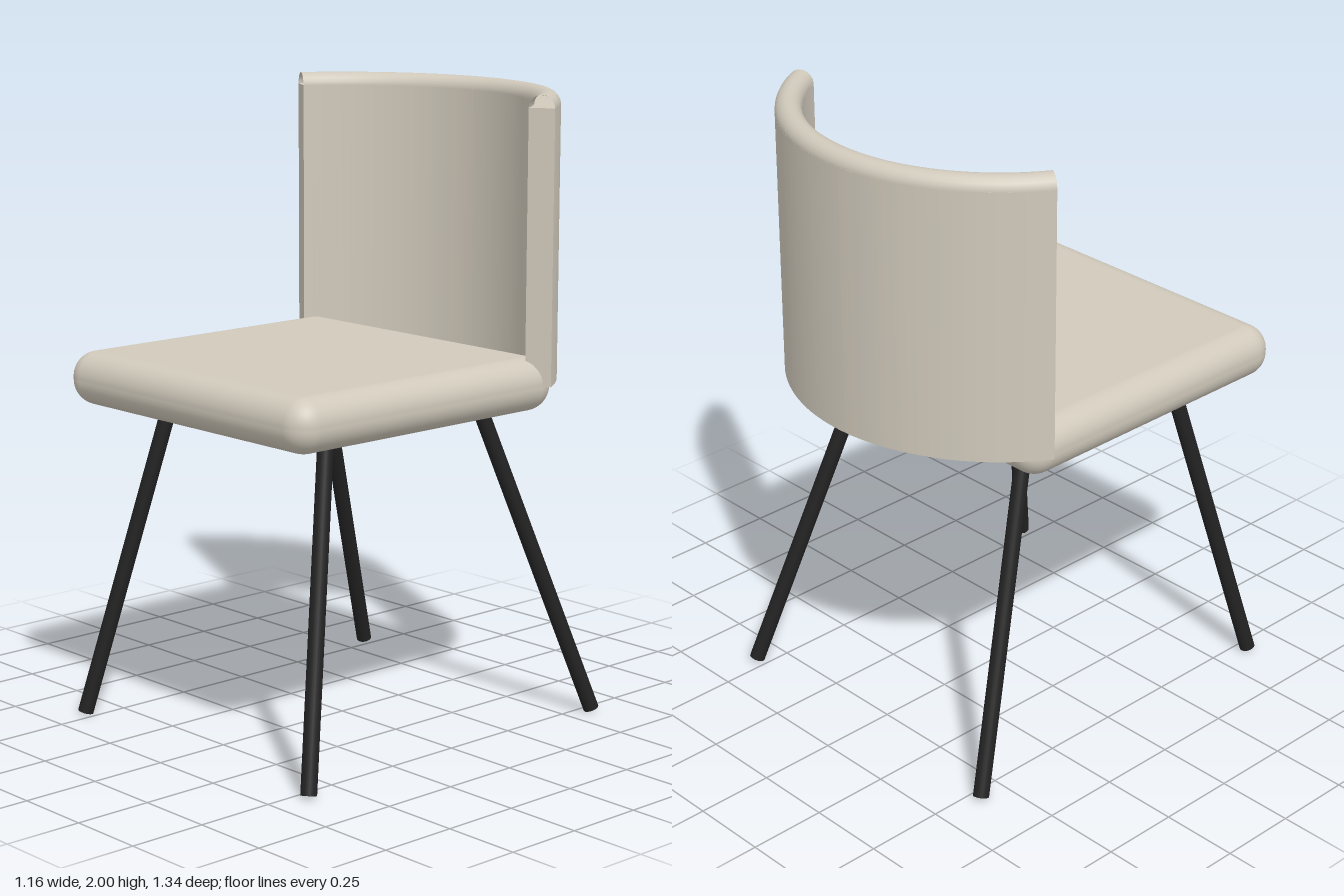
import * as THREE from 'three';
import { RoundedBoxGeometry } from 'three/addons/geometries/RoundedBoxGeometry.js';

export function createModel() {
  const chair = new THREE.Group();
  chair.name = 'chair';
  const fabric = new THREE.MeshStandardMaterial({ color: 0xd0c9bb });
  fabric.name = 'beige fabric';
  const metal = new THREE.MeshStandardMaterial({ color: 0x222222 });
  metal.name = 'black metal';
  const rimFabric = fabric.clone(); // same colour, for the open-ended rim
  rimFabric.side = THREE.DoubleSide;

  const add = (name, geometry, material) => {
    const mesh = new THREE.Mesh(geometry, material);
    mesh.name = name;
    chair.add(mesh);
    return mesh;
  };

  // Cushion and the plate that carries it
  add('seat', new RoundedBoxGeometry(1.12, 0.17, 1.07, 6, 0.08), fabric).position.set(0, 1.105, 0.135);
  add('seatPlate', new THREE.BoxGeometry(0.78, 0.025, 0.73), metal).position.set(0, 1.008, 0.075);

  // Curved backrest: a 120 degree band with a round rim on top
  const inner = 0.59, outer = 0.672, start = Math.PI / 6, end = Math.PI - start;
  const band = new THREE.Shape();
  band.absarc(0, 0, outer, start, end, false);
  band.absarc(0, 0, inner, end, start, true);
  const wall = new THREE.ExtrudeGeometry(band, { depth: 0.855, bevelEnabled: false, curveSegments: 40 });
  wall.rotateX(-Math.PI / 2);
  add('backrest', wall, fabric).position.y = 1.105;

  const rim = new THREE.TorusGeometry((inner + outer) / 2, (outer - inner) / 2, 20, 48, end - start);
  rim.rotateZ(start).rotateX(-Math.PI / 2);
  add('backrestRim', rim, rimFabric).position.y = 1.959;

  // Splayed legs
  const up = new THREE.Vector3(0, 1, 0);
  const addLeg = (name, top, foot) => {
    const along = top.clone().sub(foot);
    const leg = add(name, new THREE.CylinderGeometry(0.025, 0.025, along.length(), 20), metal);
    leg.position.addVectors(top, foot).multiplyScalar(0.5);
    leg.quaternion.setFromUnitVectors(up, along.normalize());
  };
  for (const [side, s] of [['left', 1], ['right', -1]]) {
    addLeg(side + 'FrontLeg', new THREE.Vector3(0.365 * s, 1.01, 0.4), new THREE.Vector3(0.538 * s, 0.007, 0.625));
    addLeg(side + 'BackLeg', new THREE.Vector3(0.365 * s, 1.01, -0.25), new THREE.Vector3(0.538 * s, 0.009, -0.595));
  }
  return chair;
}
